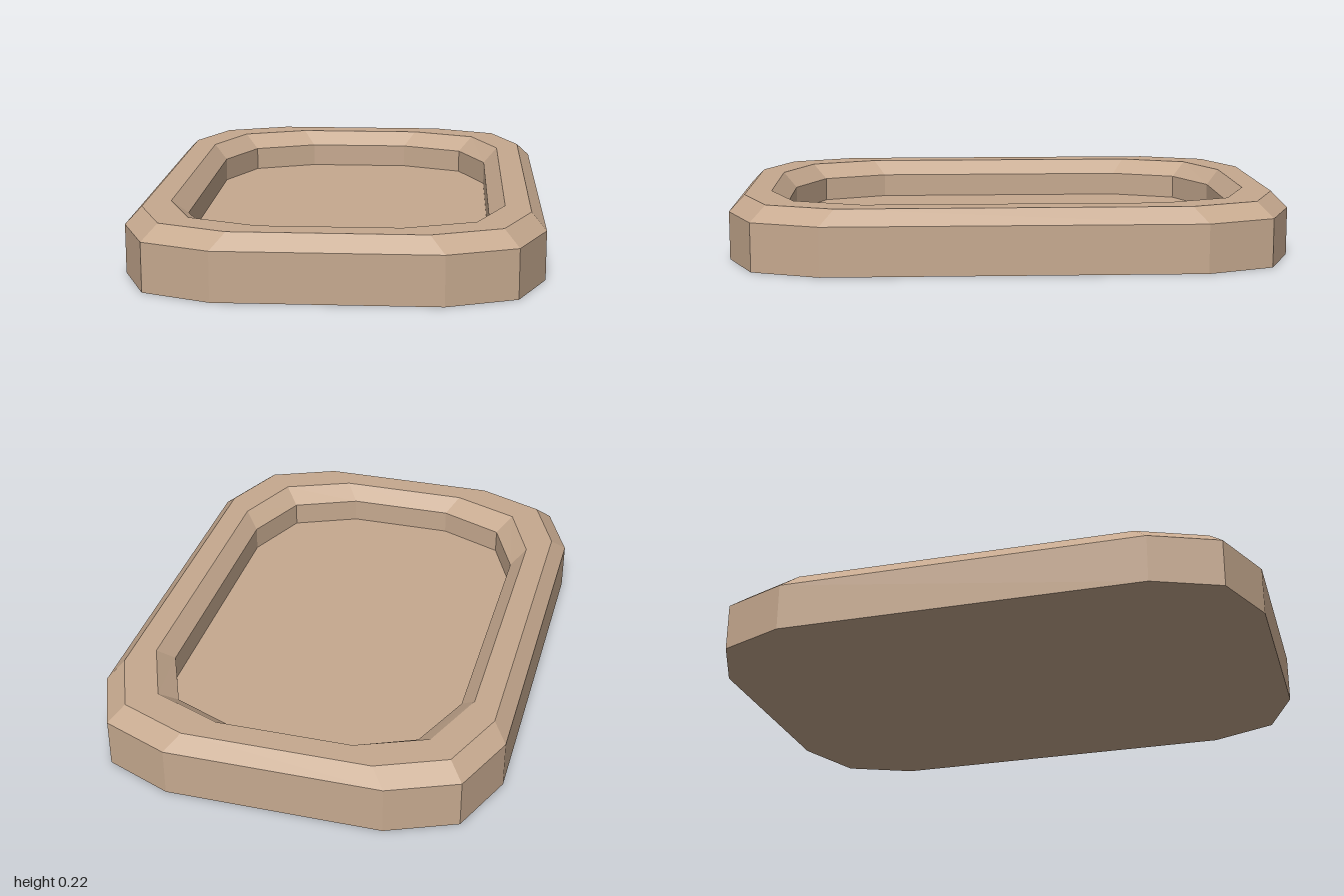
import * as THREE from 'three';

// Twelve-sided chamfered outline from one quadrant: [x, z] side, corner and end points
function ring(y, quadrant) {
  const back = [...quadrant].reverse();
  const signs = [[1, 1], [-1, 1], [-1, -1], [1, -1]];
  return signs.flatMap(([sx, sz], q) =>
    (q % 2 ? back : quadrant).map(([x, z]) => [x * sx, y, z * sz]));
}

// Flat faces between consecutive rings; a one-point ring closes the shape
function loft(rings) {
  const positions = [];
  for (let r = 0; r < rings.length - 1; r++) {
    const lower = rings[r], upper = rings[r + 1];
    const n = Math.max(lower.length, upper.length);
    for (let i = 0; i < n; i++) {
      const a = lower[i % lower.length], b = lower[(i + 1) % lower.length];
      const d = upper[i % upper.length], c = upper[(i + 1) % upper.length];
      if (upper.length > 1) positions.push(...a, ...d, ...c);
      if (lower.length > 1) positions.push(...a, ...c, ...b);
    }
  }
  const geometry = new THREE.BufferGeometry();
  geometry.setAttribute('position', new THREE.Float32BufferAttribute(positions, 3));
  geometry.computeVertexNormals();
  return geometry;
}

export function createModel() {
  const clay = new THREE.MeshStandardMaterial({ color: 0xc6a98f, flatShading: true });
  clay.name = 'clay';

  const outer = [[0.72, 0.66], [0.62, 0.9], [0.38, 1]];
  const outerTop = [[0.67, 0.61], [0.57, 0.85], [0.33, 0.95]];
  const innerTop = [[0.583, 0.52], [0.483, 0.763], [0.24, 0.862]];
  const inner = [[0.53, 0.475], [0.43, 0.71], [0.195, 0.81]];
  const chamferY = 0.172, topY = 0.225, floorY = 0.085;

  const group = new THREE.Group();
  group.name = 'tray';
  const add = (name, rings) => {
    const mesh = new THREE.Mesh(loft(rings), clay);
    mesh.name = name;
    group.add(mesh);
  };

  // Underside, outer wall, chamfered rim and inner wall
  add('rim', [
    ring(0, outer), ring(chamferY, outer), ring(topY, outerTop),
    ring(topY, innerTop), ring(chamferY, inner), ring(floorY, inner),
  ]);
  add('underside', [[[0, 0, 0]], ring(0, outer)]);
  // Recessed floor
  add('floor', [ring(floorY, inner), [[0, floorY, 0]]]);
  return group;
}
